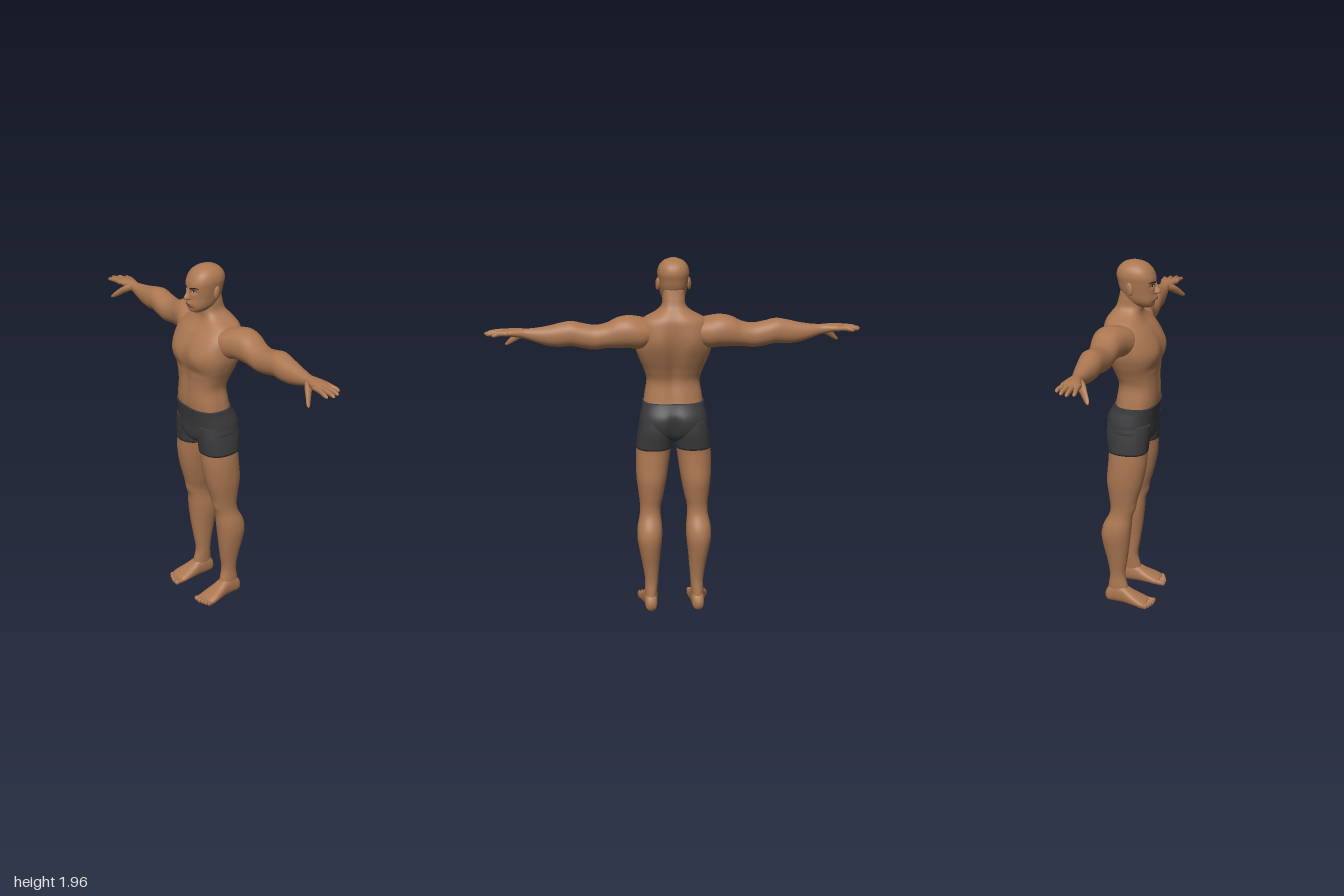
import * as THREE from 'three';

const skin = new THREE.MeshStandardMaterial({ name: 'skin', color: 0xab7751 });
const cloth = new THREE.MeshStandardMaterial({ name: 'dark shorts', color: 0x3a3a3c });
const hair = new THREE.MeshStandardMaterial({ name: 'brow hair', color: 0x2b211c, side: THREE.DoubleSide });
const white = new THREE.MeshStandardMaterial({ name: 'eye white', color: 0xcfc6bc, side: THREE.DoubleSide });
const lip = new THREE.MeshStandardMaterial({ name: 'lip', color: 0x7d4c3a, side: THREE.DoubleSide });

const bump = (d, w) => Math.exp(-((d / w) ** 2));

// Smooth value of a section table at position p
function sample(rows, p) {
  const last = rows.length - 1;
  let i = 0;
  while (i < last - 1 && p > rows[i + 1][0]) i++;
  const slope = (k, c) => {
    const a = rows[Math.max(k - 1, 0)], b = rows[Math.min(k + 1, last)];
    return (b[c] - a[c]) / (b[0] - a[0]);
  };
  const h = rows[i + 1][0] - rows[i][0], t = (p - rows[i][0]) / h, t2 = t * t, t3 = t2 * t;
  return [1, 2, 3, 4].map((c) => (2 * t3 - 3 * t2 + 1) * rows[i][c] + (t3 - 2 * t2 + t) * h * slope(i, c)
    + (3 * t2 - 2 * t3) * rows[i + 1][c] + (t3 - t2) * h * slope(i + 1, c));
}

// Skin over superellipse sections. Rows are [position, uMin, uMax, vMin, vMax];
// (u, v) is (z, x) along y, (y, z) along x, and (x, y) along z.
function loft(axis, rows, { e = 2.2, sides = 40, steps = 5, from = rows[0][0], to = rows.at(-1)[0], grow = 0, mod } = {}) {
  const n = Math.max(4, (rows.length - 1) * steps), pos = [], index = [];
  const put = (u, v, p) => {
    const q = axis === 'y' ? [v, p, u] : axis === 'x' ? [p, u, v] : [u, v, p];
    if (mod) q[2] += mod(...q);
    pos.push(...q);
  };
  const pw = (c) => Math.sign(c) * Math.abs(c) ** (2 / e);
  const centres = [];
  for (let i = 0; i <= n; i++) {
    const p = from + (to - from) * i / n, [a, b, c, d] = sample(rows, p);
    if (i === 0 || i === n) centres.push([(a + b) / 2, (c + d) / 2, p]);
    for (let j = 0; j < sides; j++) {
      const t = j / sides * Math.PI * 2;
      put((a + b) / 2 + ((b - a) / 2 + grow) * pw(Math.cos(t)), (c + d) / 2 + ((d - c) / 2 + grow) * pw(Math.sin(t)), p);
    }
  }
  centres.forEach((c) => put(...c));
  const bottom = (n + 1) * sides;
  for (let j = 0; j < sides; j++) {
    const k = (j + 1) % sides;
    for (let i = 0; i < n; i++) {
      const a = i * sides + j, b = i * sides + k;
      index.push(a, b, b + sides, a, b + sides, a + sides);
    }
    index.push(bottom, k, j, bottom + 1, n * sides + j, n * sides + k);
  }
  const g = new THREE.BufferGeometry();
  g.setAttribute('position', new THREE.Float32BufferAttribute(pos, 3));
  g.setIndex(index);
  g.computeVertexNormals();
  return g;
}

function mirrored(g) {
  const m = g.clone().scale(-1, 1, 1), a = m.index.array;
  for (let i = 0; i < a.length; i += 3) [a[i], a[i + 1]] = [a[i + 1], a[i]];
  m.computeVertexNormals();
  return m;
}

const torsoRows = [
  [1.165, -0.095, 0.128, -0.162, 0.162], [1.22, -0.085, 0.132, -0.155, 0.155], [1.3, -0.076, 0.13, -0.144, 0.144],
  [1.36, -0.095, 0.13, -0.16, 0.16], [1.42, -0.12, 0.142, -0.185, 0.185], [1.48, -0.14, 0.147, -0.203, 0.203],
  [1.54, -0.15, 0.135, -0.205, 0.205], [1.6, -0.15, 0.1, -0.198, 0.198], [1.645, -0.143, 0.06, -0.165, 0.165],
  [1.68, -0.122, 0.042, -0.1, 0.1], [1.71, -0.1, 0.042, -0.066, 0.066], [1.76, -0.084, 0.042, -0.06, 0.06],
  [1.8, -0.075, 0.04, -0.058, 0.058]];
const headRows = [
  [1.712, 0.03, 0.085, -0.024, 0.024], [1.722, 0.0, 0.102, -0.042, 0.042], [1.75, -0.04, 0.112, -0.063, 0.063],
  [1.8, -0.076, 0.112, -0.074, 0.074], [1.85, -0.09, 0.114, -0.081, 0.081], [1.885, -0.096, 0.108, -0.084, 0.084],
  [1.92, -0.085, 0.088, -0.074, 0.074], [1.945, -0.058, 0.056, -0.05, 0.05], [1.958, -0.02, 0.02, -0.018, 0.018]];
const hipRows = [
  [0.965, -0.06, 0.08, -0.03, 0.03], [0.99, -0.1, 0.11, -0.1, 0.1], [1.03, -0.127, 0.119, -0.182, 0.182],
  [1.08, -0.138, 0.121, -0.185, 0.185], [1.12, -0.132, 0.126, -0.178, 0.178], [1.16, -0.108, 0.132, -0.169, 0.169],
  [1.185, -0.096, 0.136, -0.166, 0.166]];
const legRows = [
  [0.03, -0.124, 0.01, 0.1, 0.163], [0.1, -0.115, -0.005, 0.095, 0.164], [0.17, -0.108, -0.02, 0.09, 0.162],
  [0.26, -0.12, -0.008, 0.083, 0.175], [0.34, -0.138, 0.003, 0.076, 0.19], [0.42, -0.15, 0.012, 0.067, 0.203],
  [0.48, -0.14, 0.018, 0.066, 0.202], [0.55, -0.106, 0.024, 0.073, 0.188], [0.6, -0.1, 0.036, 0.072, 0.186],
  [0.66, -0.108, 0.055, 0.058, 0.192], [0.75, -0.12, 0.08, 0.04, 0.203], [0.85, -0.114, 0.097, 0.025, 0.206],
  [0.93, -0.111, 0.1, 0.014, 0.202], [1.02, -0.124, 0.108, 0.004, 0.19], [1.09, -0.12, 0.11, 0.004, 0.176]];
const armRows = [
  [0.11, 1.51, 1.635, -0.125, 0.06], [0.18, 1.487, 1.655, -0.148, 0.055], [0.24, 1.494, 1.666, -0.153, 0.032],
  [0.3, 1.495, 1.657, -0.146, 0.016], [0.36, 1.495, 1.628, -0.136, 0.01], [0.42, 1.488, 1.618, -0.132, 0.008],
  [0.48, 1.496, 1.628, -0.13, 0.005], [0.54, 1.508, 1.641, -0.127, 0], [0.6, 1.505, 1.632, -0.12, -0.003],
  [0.66, 1.51, 1.618, -0.112, -0.012], [0.72, 1.527, 1.608, -0.1, -0.02], [0.78, 1.548, 1.603, -0.086, -0.027],
  [0.81, 1.555, 1.605, -0.09, -0.022], [0.86, 1.563, 1.604, -0.1, -0.008], [0.895, 1.566, 1.598, -0.101, -0.002],
  [0.912, 1.574, 1.59, -0.092, -0.012]];
const footRows = [
  [-0.131, 0.118, 0.147, 0.025, 0.055], [-0.12, 0.102, 0.16, 0.005, 0.08], [-0.08, 0.095, 0.166, 0, 0.112],
  [-0.03, 0.092, 0.172, 0, 0.106], [0.02, 0.087, 0.185, 0, 0.078], [0.07, 0.083, 0.197, 0, 0.054],
  [0.1, 0.086, 0.195, 0, 0.04], [0.115, 0.098, 0.185, 0.008, 0.03]];

// Muscle relief: chest, abdomen, spine groove and shoulder blades
function torsoRelief(x, y, z) {
  const ax = Math.abs(x);
  if (z > 0.02) return 0.01 * bump(ax - 0.09, 0.06) * bump(y - 1.49, 0.05) - 0.008 * bump(x, 0.018) * bump(y - 1.42, 0.2)
    - 0.007 * bump(ax - 0.08, 0.08) * bump(y - 1.405, 0.025);
  if (z < -0.03) return 0.024 * bump(x, 0.03) * bump(y - 1.42, 0.2) - 0.01 * bump(ax - 0.1, 0.05) * bump(y - 1.53, 0.07);
  return 0;
}
// Eye sockets, lips and the dip under them
function headRelief(x, y, z) {
  if (z < 0.03) return 0;
  return -0.009 * bump(Math.abs(x) - 0.032, 0.018) * bump(y - 1.835, 0.014)
    + 0.008 * bump(x, 0.026) * bump(y - 1.765, 0.016) - 0.006 * bump(x, 0.03) * bump(y - 1.742, 0.01);
}

// Thin plate lying on the face between a lower and an upper edge
function facePatch(x0, x1, low, high, lift = 0.0025) {
  const g = new THREE.PlaneGeometry(1, 1, 12, 4), p = g.attributes.position;
  for (let i = 0; i < p.count; i++) {
    const t = p.getX(i) + 0.5, x = x0 + (x1 - x0) * t, y = THREE.MathUtils.lerp(low(t), high(t), p.getY(i) + 0.5);
    const [a, b, , w] = sample(headRows, y);
    const z = (a + b) / 2 + (b - a) / 2 * (1 - Math.abs(x / w) ** 2.3) ** (1 / 2.3);
    p.setXYZ(i, x, y, z + headRelief(x, y, z) + lift);
  }
  g.computeVertexNormals();
  return g;
}

export function createModel() {
  const model = new THREE.Group();
  model.name = 'standingMan';
  const add = (name, g, mat = skin) => {
    const m = new THREE.Mesh(g, mat);
    m.name = name;
    model.add(m);
  };
  const pair = (name, g, mat) => {
    add(name + 'Left', g, mat);
    add(name + 'Right', mirrored(g), mat);
  };

  // Trunk and shorts
  add('torso', loft('y', torsoRows, { e: 2.5, sides: 64, steps: 6, mod: torsoRelief }));
  add('shortsHips', loft('y', hipRows, {
    e: 2.5, sides: 64, mod: (x, y, z) => (z < -0.03 ? 0.028 * bump(x, 0.025) * bump(y - 1.05, 0.08) : 0),
  }), cloth);
  pair('shortsLeg', loft('y', legRows, { e: 2.3, from: 0.93, to: 1.09, grow: 0.003, steps: 1 }), cloth);

  // Legs with kneecaps, feet and toes
  pair('leg', loft('y', legRows, {
    e: 2.15, to: 0.97, mod: (x, y, z) => (z > -0.02 ? 0.009 * bump(x - 0.13, 0.03) * bump(y - 0.59, 0.035) : 0),
  }));
  pair('foot', loft('z', footRows, { e: 2.4 }));
  [[0.102, 0.15, 0.016], [0.128, 0.149, 0.011], [0.149, 0.142, 0.01], [0.168, 0.134, 0.01], [0.185, 0.124, 0.009]]
    .forEach(([x, tip, r], i) => pair('toe' + (i + 1), loft('z', [
      [0.07, x - r, x + r, 0.004, 0.04], [tip - 0.022, x - r * 0.9, x + r * 0.9, 0.002, 0.03],
      [tip - 0.006, x - r, x + r, 0.002, 0.032], [tip, x - r * 0.4, x + r * 0.4, 0.011, 0.022]], { sides: 14, steps: 4 })));

  // Arms, fingers and thumbs
  pair('arm', loft('x', armRows, { e: 2.15 }));
  [[-0.089, -0.1, 0.958], [-0.064, -0.069, 0.988], [-0.038, -0.037, 1], [-0.013, -0.005, 0.985]].forEach(([z, zt, tip], i) => {
    const at = (x, y, zc, r) => [x, y - r, y + r, zc - r, zc + r];
    pair('finger' + (i + 1), loft('x', [at(0.87, 1.584, z, 0.013), at(0.915, 1.583, z, 0.0125),
      at(tip - 0.02, 1.578, zt, 0.01), at(tip - 0.005, 1.575, zt, 0.007), at(tip, 1.574, zt, 0.002)], { sides: 14, steps: 4 }));
  });
  pair('thumb', loft('x', [[0.785, 1.558, 1.592, -0.06, -0.025], [0.82, 1.538, 1.582, -0.045, 0.002],
    [0.855, 1.514, 1.553, -0.012, 0.022], [0.882, 1.498, 1.522, 0.014, 0.038], [0.895, 1.498, 1.506, 0.028, 0.038]],
  { sides: 16 }));

  // Head, nose and ears
  add('head', loft('y', headRows, { e: 2.3, sides: 80, steps: 9, mod: headRelief }));
  add('nose', loft('y', [[1.785, 0.08, 0.118, -0.009, 0.009], [1.793, 0.08, 0.138, -0.018, 0.018],
    [1.803, 0.08, 0.141, -0.016, 0.016], [1.825, 0.08, 0.128, -0.01, 0.01], [1.852, 0.08, 0.114, -0.008, 0.008]],
  { sides: 24, e: 2 }));
  const ear = new THREE.SphereGeometry(1, 18, 14).scale(0.011, 0.035, 0.02).rotateX(-0.2).rotateY(0.3);
  pair('ear', ear.translate(0.083, 1.823, -0.006));

  // Painted face details
  const arc = (t) => Math.sin(Math.PI * t);
  pair('eye', facePatch(0.018, 0.046, (t) => 1.834 - 0.004 * arc(t), (t) => 1.834 + 0.006 * arc(t)), white);
  pair('iris', facePatch(0.027, 0.037, (t) => 1.835 - 0.005 * arc(t), (t) => 1.835 + 0.005 * arc(t), 0.004), hair);
  pair('upperLid', facePatch(0.016, 0.049, (t) => 1.834 + 0.005 * arc(t), (t) => 1.836 + 0.008 * arc(t), 0.004), hair);
  pair('eyebrow', facePatch(0.012, 0.06, (t) => 1.846 + 0.012 * t - 0.005 * t ** 4, (t) => 1.854 + 0.012 * t - 0.01 * t ** 4), hair);
  add('mouth', facePatch(-0.023, 0.023, (t) => 1.765 - 0.005 * arc(t), (t) => 1.765 + 0.004 * arc(t)), lip);
  return model;
}
